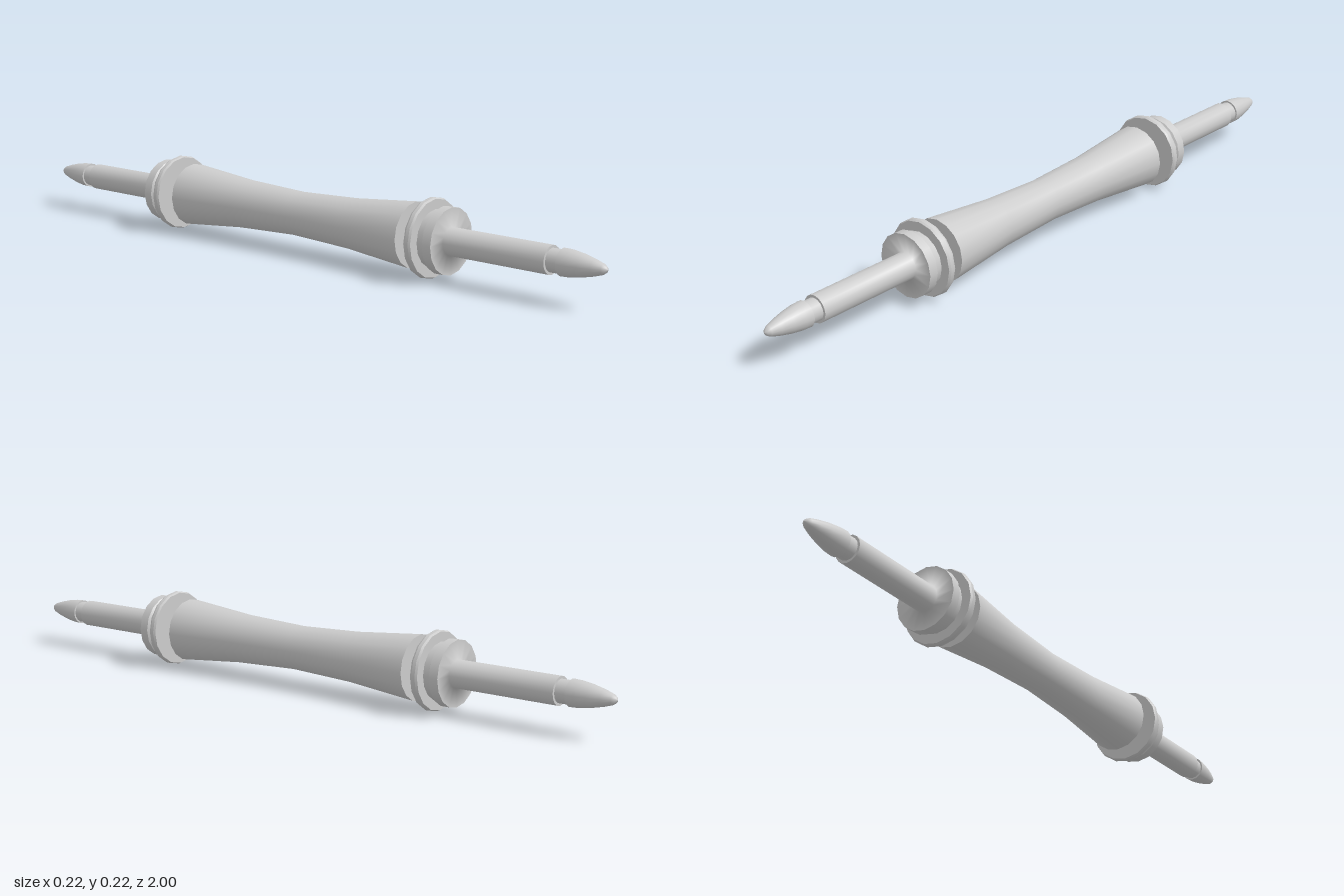
import * as THREE from 'three';

const SIDES = 16;
const AXIS_HEIGHT = 0.11;

// Turned piece along z from [radius, z] points in order of rising z; smooth within one piece
function turned(name, points, material) {
  const geometry = new THREE.LatheGeometry(points.map(([r, z]) => new THREE.Vector2(r, z)), SIDES);
  geometry.rotateX(Math.PI / 2);
  const mesh = new THREE.Mesh(geometry, material);
  mesh.name = name;
  return mesh;
}

// Piece whose every profile segment has its own hard edges
function stepped(name, points, material) {
  const group = new THREE.Group();
  group.name = name;
  for (let i = 1; i < points.length; i++) {
    group.add(turned(name + 'Band' + i, [points[i - 1], points[i]], material));
  }
  return group;
}

function createEnd(name, material) {
  const end = new THREE.Group();
  end.name = name;
  end.add(
    // thin neck between the grip and the flange
    turned('neck', [[0.038, 0.41], [0.038, 0.46]], material),
    // wide flange, groove and collar
    stepped('flange', [[0.03, 0.456], [0.105, 0.456], [0.108, 0.462], [0.108, 0.472], [0.105, 0.478], [0.078, 0.478]], material),
    stepped('collar', [[0.078, 0.478], [0.08, 0.497], [0.09, 0.504], [0.09, 0.531]], material),
    // collar face blending softly into the shaft
    turned('shaft', [[0.09, 0.531], [0.038, 0.531], [0.038, 0.84]], material),
    stepped('shaftGroove', [[0.038, 0.84], [0.031, 0.84], [0.031, 0.872], [0.036, 0.872]], material),
    // rounded point
    turned('tip', [[0.036, 0.872], [0.035, 0.895], [0.03, 0.928], [0.022, 0.962], [0.014, 0.987], [0.008, 0.996], [0, 1]], material),
  );
  return end;
}

export function createModel() {
  const model = new THREE.Group();
  model.name = 'turnedHandle';
  const material = new THREE.MeshStandardMaterial({ color: 0xcccccc });

  // waisted grip with flat ends
  const grip = new THREE.Group();
  grip.name = 'grip';
  grip.add(
    turned('gripBody', [[0.09, -0.415], [0.07, -0.2], [0.062, 0], [0.07, 0.2], [0.09, 0.415]], material),
    turned('gripBackCap', [[0, -0.415], [0.09, -0.415]], material),
    turned('gripFrontCap', [[0.09, 0.415], [0, 0.415]], material),
  );

  // matching ends, front and back
  const front = createEnd('frontEnd', material);
  const back = createEnd('backEnd', material);
  back.rotation.y = Math.PI;

  model.add(grip, front, back);
  for (const part of model.children) part.position.y = AXIS_HEIGHT;
  return model;
}
